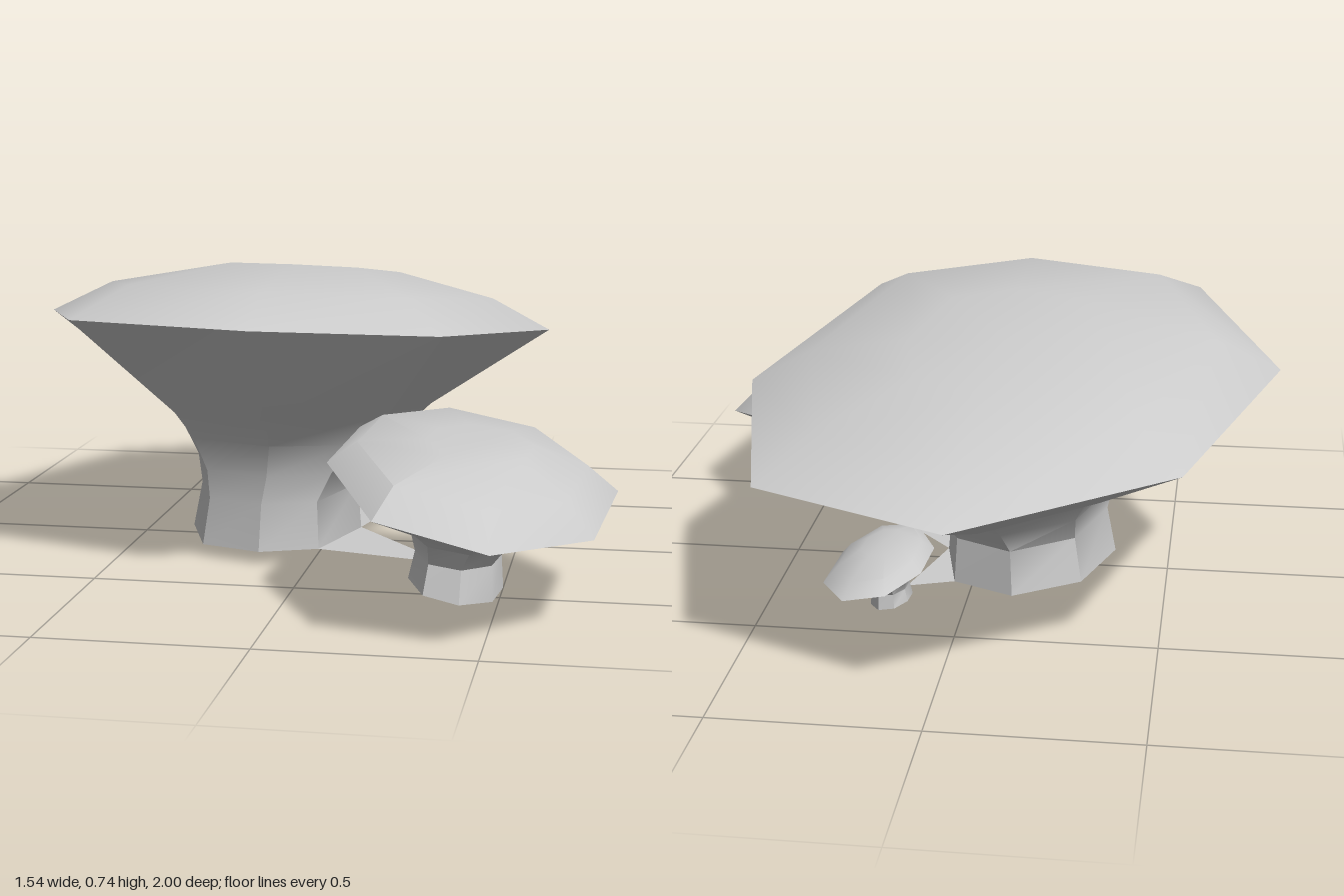
import * as THREE from 'three';
import { toCreasedNormals } from 'three/addons/utils/BufferGeometryUtils.js';

const material = new THREE.MeshStandardMaterial({ color: 0xcccccc, side: THREE.DoubleSide });

// Eight-sided outlines (x, z), normalised to about -1..1
const normalise = (pts, cx, cz, hx, hz) => pts.map(([x, z]) => [(x - cx) / hx, (z - cz) / hz]);
const bigOutline = normalise(
  [[-0.05, -1], [0.42, -0.8], [0.56, -0.2], [0.35, 0.49], [-0.08, 0.65], [-0.55, 0.5], [-0.77, -0.07], [-0.55, -0.69]],
  -0.105, -0.175, 0.665, 0.825);
const sideOutline = normalise(
  [[0.59, 0.15], [0.77, 0.41], [0.73, 0.77], [0.52, 1], [0.26, 0.96], [0.11, 0.66], [0.14, 0.36], [0.32, 0.14]],
  0.44, 0.57, 0.33, 0.43);

// A ring is [centre x, centre z, half width, half depth, height, tilt along x, tilt along z]
function ringPoints(outline, [cx, cz, hx, hz, y, tx, tz]) {
  return outline.map(([u, v]) => [cx + u * hx, y + u * hx * tx + v * hz * tz, cz + v * hz]);
}

// Skin between successive rings, optionally closed at either end
function loft(name, outline, rings, closeBottom, closeTop) {
  const loops = rings.map((r) => ringPoints(outline, r));
  const n = outline.length;
  const pos = [];
  const tri = (a, b, c) => pos.push(...a, ...b, ...c);
  for (let i = 0; i < loops.length - 1; i++) {
    const a = loops[i], b = loops[i + 1];
    for (let j = 0; j < n; j++) {
      const k = (j + 1) % n;
      tri(a[k], a[j], b[j]);
      tri(a[k], b[j], b[k]);
    }
  }
  const centre = ([cx, cz, , , y]) => [cx, y, cz];
  for (let j = 0; j < n; j++) {
    const k = (j + 1) % n;
    if (closeBottom) tri(centre(rings[0]), loops[0][j], loops[0][k]);
    if (closeTop) tri(centre(rings.at(-1)), loops.at(-1)[k], loops.at(-1)[j]);
  }
  const geo = new THREE.BufferGeometry();
  geo.setAttribute('position', new THREE.Float32BufferAttribute(pos, 3));
  const mesh = new THREE.Mesh(toCreasedNormals(geo, 0.6), material);
  mesh.name = name;
  return mesh;
}

// Flared stem up to the rim, then a shallow domed cap
function mushroom(name, outline, stemRings, rim, capRings) {
  const group = new THREE.Group();
  group.name = name;
  group.add(loft('flaredStem', outline, [...stemRings, rim], true, false));
  group.add(loft('cap', outline, [rim, ...capRings], false, true));
  return group;
}

export function createModel() {
  const model = new THREE.Group();
  model.name = 'mushroomCluster';

  const bigBase = [-0.137, 0, 0.222, 0.3, 0.035, 0, 0.005];
  const mediumBase = [0.39, 0.47, 0.11, 0.165, 0.024, -0.18, 0];
  const smallBase = [0.18, -0.35, 0.05, 0.075, 0.034, -0.18, 0];

  model.add(mushroom('bigMushroom', bigOutline, [
    bigBase,
    [-0.13, 0, 0.205, 0.295, 0.155, 0, 0.01],
    [-0.115, -0.025, 0.235, 0.33, 0.225, 0, 0.02],
    [-0.105, -0.06, 0.295, 0.39, 0.3, -0.01, 0.04],
    [-0.1, -0.1, 0.355, 0.51, 0.36, -0.01, 0.07],
  ], [-0.105, -0.175, 0.665, 0.825, 0.565, -0.02, 0.106], [
    [-0.1, -0.175, 0.51, 0.65, 0.645, -0.025, 0.116],
    [-0.095, -0.245, 0.245, 0.305, 0.695, -0.02, 0.15],
  ]));

  model.add(mushroom('mediumMushroom', sideOutline, [
    mediumBase,
    [0.395, 0.465, 0.1, 0.15, 0.1, -0.1, 0],
    [0.41, 0.475, 0.125, 0.17, 0.155, -0.1, -0.05],
    [0.425, 0.5, 0.185, 0.235, 0.212, -0.13, -0.12],
  ], [0.44, 0.57, 0.33, 0.43, 0.3, -0.19, -0.11], [
    [0.44, 0.58, 0.26, 0.34, 0.36, -0.19, -0.1],
    [0.46, 0.595, 0.12, 0.165, 0.396, -0.13, -0.05],
  ]));

  model.add(mushroom('smallMushroom', sideOutline, [
    smallBase,
    [0.182, -0.352, 0.045, 0.068, 0.07, -0.1, 0],
    [0.186, -0.36, 0.056, 0.08, 0.097, -0.1, 0.03],
    [0.19, -0.375, 0.08, 0.115, 0.118, -0.13, 0.04],
  ], [0.2, -0.4, 0.13, 0.2, 0.15, -0.2, 0.06], [
    [0.2, -0.4, 0.1, 0.158, 0.178, -0.2, 0.07],
    [0.195, -0.385, 0.05, 0.078, 0.198, -0.13, 0.05],
  ]));

  // Flat webs joining the side stems to the big one at ground level
  const big = ringPoints(bigOutline, bigBase);
  const medium = ringPoints(sideOutline, mediumBase);
  const small = ringPoints(sideOutline, smallBase);
  const webs = [
    ['mediumWeb', big[2], big[3], medium[7]],
    ['smallWeb', big[1], big[2], small[4]],
  ];
  for (const [name, a, b, c] of webs) {
    const geo = new THREE.BufferGeometry();
    geo.setAttribute('position', new THREE.Float32BufferAttribute([...a, ...c, ...b], 3));
    geo.computeVertexNormals();
    const web = new THREE.Mesh(geo, material);
    web.name = name;
    model.add(web);
  }
  return model;
}
